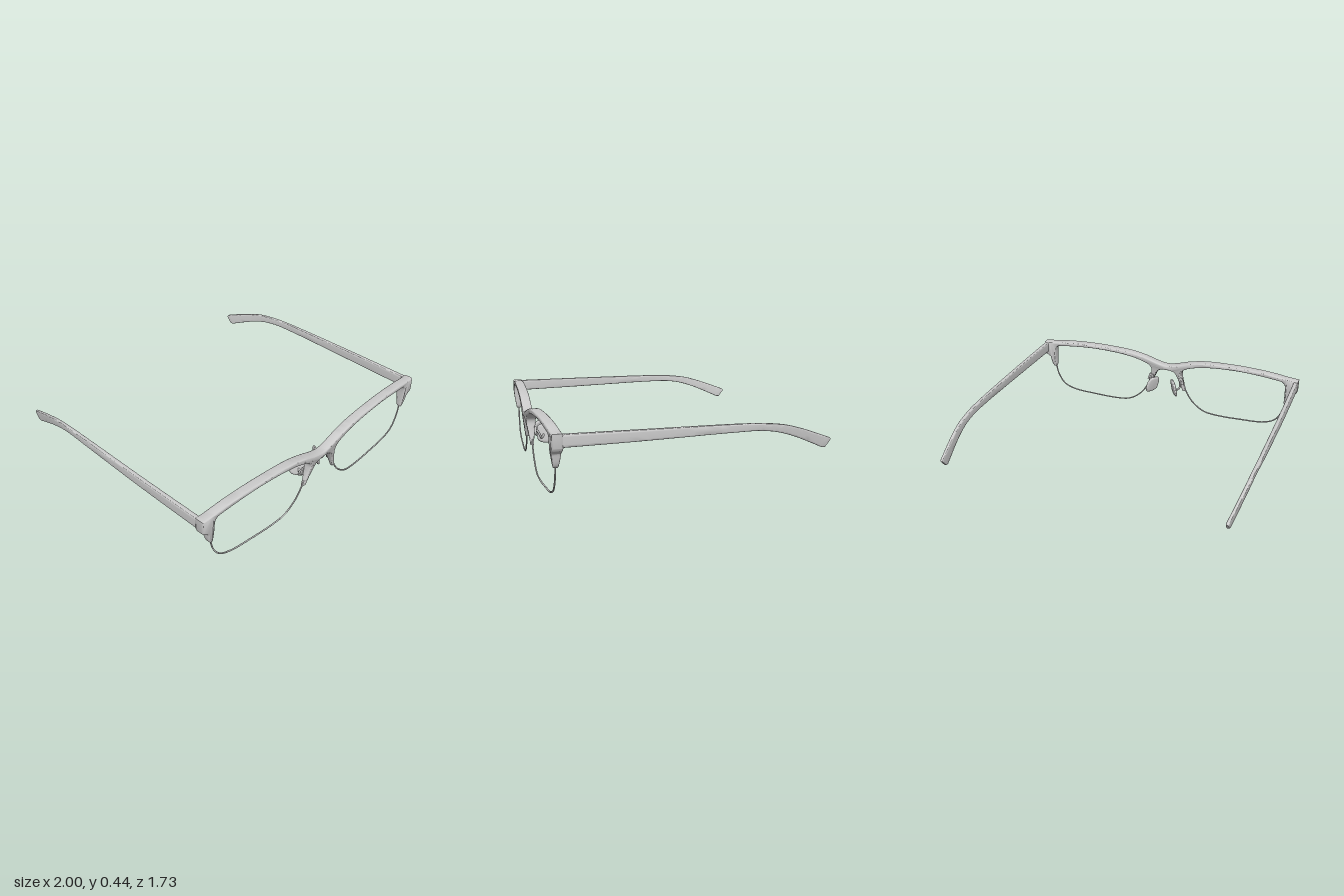
import * as THREE from 'three';
import { mergeVertices, toCreasedNormals } from 'three/addons/utils/BufferGeometryUtils.js';

const material = new THREE.MeshStandardMaterial({ color: 0xcccccc });

// The front is gently bowed: z of its middle surface at a given x
const bow = (x) => 0.833 - 0.038 * Math.pow(Math.abs(x), 1.4);

const vec2 = (list) => list.map(([x, y]) => new THREE.Vector2(x, y));
const spline = (list, n) => new THREE.SplineCurve(vec2(list)).getPoints(n);
const mirrored = (pts) => pts.map((p) => new THREE.Vector2(-p.x, p.y)).reverse();

function part(name, geometry) {
  const mesh = new THREE.Mesh(geometry, material);
  mesh.name = name;
  return mesh;
}

function smooth(geometry, angle) {
  geometry.deleteAttribute('uv');
  geometry.deleteAttribute('normal');
  return toCreasedNormals(mergeVertices(geometry, 1e-5), angle);
}

// Brow bar, bridge, nose legs and end pieces as one bowed extrusion
function browFrame() {
  const topHalf = [[0.07, 0.372], [0.18, 0.405], [0.3, 0.428], [0.45, 0.438],
    [0.62, 0.441], [0.8, 0.434], [0.92, 0.421], [1, 0.416]];
  const top = spline([...topHalf.map(([x, y]) => [-x, y]).reverse(), [0, 0.36], ...topHalf], 80);
  const outer = [
    ...spline([[1, 0.335], [0.992, 0.318], [0.972, 0.307], [0.957, 0.295]], 8),
    ...spline([[0.955, 0.285], [0.947, 0.24], [0.935, 0.215], [0.918, 0.21]], 10),
  ];
  const lens = spline([[0.911, 0.225], [0.912, 0.3], [0.909, 0.36], [0.895, 0.387], [0.85, 0.399],
    [0.62, 0.414], [0.42, 0.408], [0.28, 0.391], [0.19, 0.368], [0.14, 0.345],
    [0.119, 0.315], [0.124, 0.27], [0.14, 0.215], [0.156, 0.165]], 60);
  const bridgeHalf = [[0.045, 0.318], [0.072, 0.3], [0.1, 0.24], [0.132, 0.16]];
  const bridge = spline([...bridgeHalf.slice().reverse(), [0, 0.323],
    ...bridgeHalf.map(([x, y]) => [-x, y])], 40);
  const half = [...outer, ...lens];
  const shape = new THREE.Shape([...top, ...half, ...bridge, ...mirrored(half)]);
  const geometry = new THREE.ExtrudeGeometry(shape, {
    depth: 0.04, bevelThickness: 0.012, bevelSize: 0.007, bevelOffset: -0.007, bevelSegments: 3,
  });
  geometry.translate(0, 0, -0.02);
  // Thin the depth toward the lower tips, then follow the bow
  const p = geometry.attributes.position;
  for (let i = 0; i < p.count; i++) {
    const x = p.getX(i);
    const depth = 0.35 + 0.65 * THREE.MathUtils.smoothstep(p.getY(i), 0.16, 0.34);
    p.setZ(i, p.getZ(i) * depth + bow(x));
  }
  return smooth(geometry, 0.7);
}

// Thin wire holding the lower edge of a lens
function rimWire() {
  const pts = [[0.922, 0.25], [0.917, 0.2], [0.9, 0.135], [0.85, 0.062], [0.767, 0.027], [0.6, 0.011],
    [0.4, 0.005], [0.3, 0.02], [0.21, 0.083], [0.16, 0.155], [0.142, 0.2]];
  const curve = new THREE.CatmullRomCurve3(pts.map(([x, y]) => new THREE.Vector3(x, y, bow(x))));
  return new THREE.TubeGeometry(curve, 80, 0.005, 8);
}

// Temple arm lofted through rounded sections between its upper and lower edges
function templeArm() {
  const upper = new THREE.SplineCurve(vec2([[0.79, 0.412], [0.3, 0.412], [-0.25, 0.41], [-0.48, 0.397],
    [-0.64, 0.362], [-0.868, 0.28]]));
  const lower = new THREE.SplineCurve(vec2([[0.79, 0.336], [0.3, 0.347], [-0.2, 0.361], [-0.42, 0.358],
    [-0.59, 0.318], [-0.82, 0.22]]));
  const outside = new THREE.SplineCurve(vec2([[0.79, 0.998], [0.3, 0.999], [-0.22, 0.993], [-0.45, 0.984],
    [-0.61, 0.97], [-0.845, 0.936]]));
  const rings = 50, sides = 28;
  const pos = [], index = [];
  const soft = (c) => Math.sign(c) * Math.pow(Math.abs(c), 0.35);
  for (let i = 0; i <= rings; i++) {
    const t = i / rings;
    const a = lower.getPoint(t), b = upper.getPoint(t);
    const thick = 0.031 - 0.009 * t, mid = outside.getPoint(t).y - thick / 2;
    const size = i === rings ? 0.8 : 1;
    for (let j = 0; j < sides; j++) {
      const ang = (j / sides) * Math.PI * 2;
      const p = a.clone().lerp(b, 0.5 + 0.5 * size * soft(Math.sin(ang)));
      pos.push(mid + 0.5 * thick * size * soft(Math.cos(ang)), p.y, p.x);
    }
  }
  for (let j = 0; j < sides; j++) {
    const k = (j + 1) % sides;
    for (let i = 0; i < rings; i++) {
      const r = i * sides, s = r + sides;
      index.push(r + j, s + j, r + k, r + k, s + j, s + k);
    }
    // End caps
    if (j > 0 && k > 0) {
      const e = rings * sides;
      index.push(0, j, k, e, e + k, e + j);
    }
  }
  const geometry = new THREE.BufferGeometry();
  geometry.setAttribute('position', new THREE.Float32BufferAttribute(pos, 3));
  geometry.setIndex(index);
  return toCreasedNormals(geometry, 0.7);
}

// Cushion-like nose pad, tilted toward the nose
function nosePad() {
  const outline = new THREE.CatmullRomCurve3([[-0.045, 0.05], [0, 0.062], [0.04, 0.045], [0.058, -0.02],
    [0.045, -0.056], [0, -0.062], [-0.045, -0.045], [-0.054, 0]]
    .map(([x, y]) => new THREE.Vector3(x, y, 0)), true);
  const pts = outline.getPoints(40).slice(0, -1).map((p) => new THREE.Vector2(p.x, p.y));
  const geometry = smooth(new THREE.ExtrudeGeometry(new THREE.Shape(pts.reverse()), {
    depth: 0.002, bevelThickness: 0.01, bevelSize: 0.022, bevelOffset: -0.022, bevelSegments: 5,
  }).translate(0, 0, -0.001), 0.9);
  const mesh = part('nosePad', geometry);
  mesh.rotation.set(0, 1.0, 0.2, 'ZYX');
  mesh.position.set(0.084, 0.222, 0.742);
  return mesh;
}

// Bent wire from the nose leg to the pad
function padArm() {
  const curve = new THREE.CatmullRomCurve3([[0.118, 0.265, 0.82], [0.12, 0.245, 0.79], [0.122, 0.215, 0.775],
    [0.11, 0.198, 0.765], [0.09, 0.215, 0.748]].map((p) => new THREE.Vector3(...p)));
  return new THREE.TubeGeometry(curve, 24, 0.007, 8);
}

export function createModel() {
  const model = new THREE.Group();
  model.name = 'eyeglasses';
  model.add(part('browFrame', browFrame()));
  for (const [label, s] of [['left', 1], ['right', -1]]) {
    const side = new THREE.Group();
    side.name = label + 'Side';
    // Small plate behind the nose leg
    const plate = part('padMount', new THREE.BoxGeometry(0.034, 0.05, 0.012));
    plate.position.set(0.122, 0.25, 0.806);
    plate.rotation.z = 0.3;
    side.add(part('temple', templeArm()), part('rimWire', rimWire()), nosePad(), part('padArm', padArm()), plate);
    side.scale.x = s;
    model.add(side);
  }
  return model;
}
